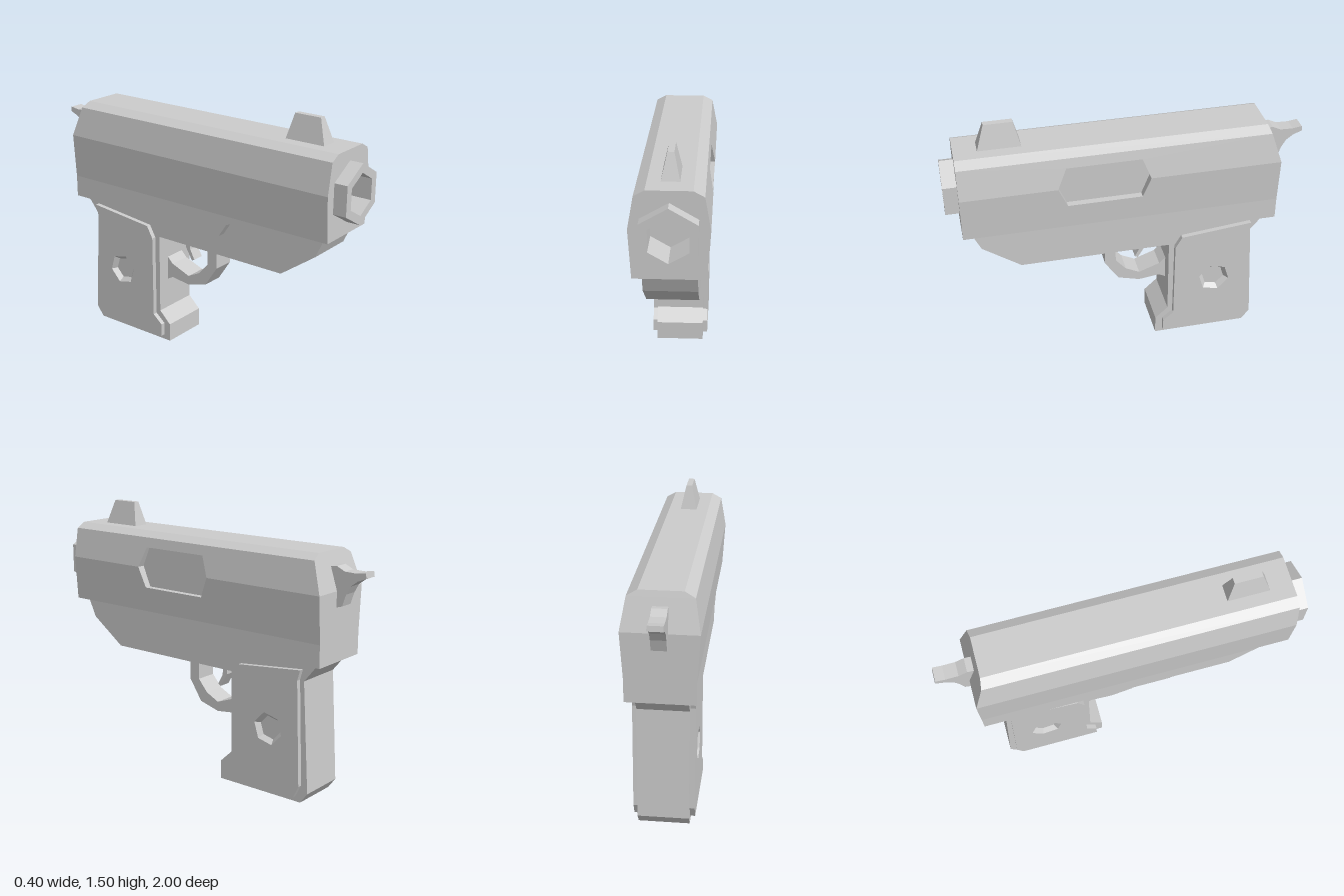
import * as THREE from 'three';
import { mergeGeometries } from 'three/addons/utils/BufferGeometryUtils.js';

const material = new THREE.MeshStandardMaterial({ color: 0xcccccc, flatShading: true, side: THREE.DoubleSide });
const toShape = (pts) => new THREE.Shape(pts.map(([a, b]) => new THREE.Vector2(a, b)));

// Side profile given as [z, y], extruded across x and centred on xMid
function profile(pts, width, xMid = 0, hole = null) {
  const shape = toShape(pts);
  if (hole) shape.holes.push(toShape(hole));
  const g = new THREE.ExtrudeGeometry(shape, { depth: width, bevelEnabled: false });
  return g.translate(0, 0, -width / 2).rotateY(-Math.PI / 2).translate(xMid, 0, 0);
}

// Flat [z, y] outline facing side s (+1 or -1), pushed out to x = s * xAt(y)
function sidePanel(pts, s, xAt) {
  const g = new THREE.ShapeGeometry(toShape(pts.map(([z, y]) => [-s * z, y]))).rotateY(s * Math.PI / 2);
  const p = g.attributes.position;
  for (let i = 0; i < p.count; i++) p.setX(i, s * xAt(p.getY(i)));
  return g.toNonIndexed();
}

// Skin between successive rows of [x, y, z] points
function loft(rows) {
  const v = [];
  for (let r = 0; r + 1 < rows.length; r++) {
    const a = rows[r], b = rows[r + 1];
    for (let i = 0; i + 1 < a.length; i++) {
      v.push(...a[i], ...a[i + 1], ...b[i + 1], ...a[i], ...b[i + 1], ...b[i]);
    }
  }
  const g = new THREE.BufferGeometry();
  g.setAttribute('position', new THREE.Float32BufferAttribute(v, 3));
  g.setAttribute('uv', new THREE.Float32BufferAttribute(new Float32Array(v.length / 3 * 2), 2));
  g.computeVertexNormals();
  return g;
}

const closed = (pts) => [...pts, pts[0]];

// Slide half-width at each height, as [y, x]
const section = [[1.365, 0.115], [1.335, 0.17], [1.165, 0.2], [0.91, 0.184], [0.785, 0.184]];
function halfWidth(y) {
  for (let i = 0; i + 1 < section.length; i++) {
    const [y0, x0] = section[i], [y1, x1] = section[i + 1];
    if (y >= y1 - 1e-6) return x0 + (x1 - x0) * (y0 - y) / (y0 - y1);
  }
  return 0.184;
}

const MUZZLE_Y = 1.14, FRONT = 0.925;
const port = [[0.405, 1.165], [0.355, 1.28], [-0.055, 1.28], [-0.1, 1.165], [-0.055, 1.05], [0.355, 1.05]];

function slideGeometry() {
  // Underside, back and top as one strip
  const path = [[FRONT, 0.91], [0.4, 0.91], [0.29, 0.86], [0.24, 0.785], [-0.83, 0.785], [-0.83, 0.91],
    [-0.83, 1.165], [-0.775, 1.335], [-0.765, 1.365], [FRONT, 1.365]];
  const parts = [loft(path.map(([z, y]) => [[halfWidth(y), y, z], [-halfWidth(y), y, z]]))];

  // Side bands; the left side is notched for the port
  for (const s of [1, -1]) {
    const [a, b, c, d, e, f] = port;
    const upperNotch = s > 0 ? [d, c, b, a] : [];
    const lowerNotch = s > 0 ? [a, f, e, d] : [];
    const bands = [
      [[FRONT, 1.365], [FRONT, 1.335], [-0.775, 1.335], [-0.765, 1.365]],
      [[-0.775, 1.335], [-0.83, 1.165], ...upperNotch, [FRONT, 1.165], [FRONT, 1.335]],
      [[FRONT, 1.165], ...lowerNotch, [-0.83, 1.165], [-0.83, 0.91], [FRONT, 0.91]],
      [[0.4, 0.91], [0.29, 0.86], [0.24, 0.785], [-0.83, 0.785], [-0.83, 0.91]],
    ];
    for (const band of bands) parts.push(sidePanel(band, s, halfWidth));
  }

  // Front face, opened for the bore
  const half = section.slice(0, 4).map(([y, x]) => [x, y]);
  const face = toShape([...half, ...half.map(([x, y]) => [-x, y]).reverse()]);
  face.holes.push(toShape(hexagon(0.13, 0, MUZZLE_Y, Math.PI / 2)));
  parts.push(new THREE.ShapeGeometry(face).translate(0, 0, FRONT).toNonIndexed());
  return mergeGeometries(parts);
}

function portRecessGeometry() {
  const floor = 0.155;
  return mergeGeometries([
    loft([closed(port.map(([z, y]) => [halfWidth(y), y, z])), closed(port.map(([z, y]) => [floor, y, z]))]),
    sidePanel(port, 1, () => floor),
  ]);
}

function hexagon(r, cx, cy, turn) {
  return Array.from({ length: 6 }, (_, i) => {
    const t = turn + i * Math.PI / 3;
    return [cx + r * Math.cos(t), cy + r * Math.sin(t)];
  });
}

export function createModel() {
  const group = new THREE.Group();
  const add = (name, geometry) => {
    const mesh = new THREE.Mesh(geometry, material);
    mesh.name = name;
    group.add(mesh);
    return mesh;
  };

  add('slide', slideGeometry());
  add('ejectionPort', portRecessGeometry());

  // Six-sided barrel with a hollow bore
  const barrel = [[0.165, 0.92], [0.165, 1], [0.115, 1], [0.115, 0.8], [0, 0.8]];
  add('barrel', new THREE.LatheGeometry(barrel.map(([r, h]) => new THREE.Vector2(r, h)), 6)
    .rotateX(Math.PI / 2).translate(0, MUZZLE_Y, 0));

  // Front sight: a box narrowed towards the top
  const sight = new THREE.BoxGeometry(0.096, 0.14, 0.235).translate(0, 1.43, 0.6825);
  const p = sight.attributes.position;
  for (let i = 0; i < p.count; i++) {
    if (p.getY(i) > 1.43) {
      p.setX(i, Math.sign(p.getX(i)) * 0.017);
      p.setZ(i, p.getZ(i) > 0.68 ? 0.755 : 0.6);
    }
  }
  sight.computeVertexNormals();
  add('frontSight', sight);

  add('hammer', profile([[-0.77, 1.29], [-0.825, 1.295], [-0.873, 1.272], [-0.943, 1.27], [-0.995, 1.278],
    [-1, 1.25], [-0.95, 1.23], [-0.91, 1.2], [-0.885, 1.155], [-0.863, 1.09], [-0.83, 1.08], [-0.77, 1.08]], 0.08));

  // Frame and grip core in one profile
  add('frame', profile([[0.88, 0.93], [0.88, 0.91], [0.83, 0.8], [0.62, 0.65], [-0.225, 0.65], [-0.228, 0.178],
    [-0.155, 0.108], [-0.155, 0], [-0.7, 0], [-0.745, 0.06], [-0.708, 0.685], [-0.79, 0.785], [-0.79, 0.93]], 0.276));

  // Grip panels with a tapered hexagonal recess
  const grip = [[-0.7, 0.749], [-0.648, 0.675], [-0.705, 0.1], [-0.67, 0.03], [-0.197, 0.03], [-0.197, 0.105],
    [-0.257, 0.155], [-0.257, 0.64], [-0.295, 0.708]];
  // Rear edge follows the back of the grip
  grip[1] = [-0.683, 0.69];
  const rim = hexagon(0.092, -0.497, 0.383, 0.23), base = hexagon(0.067, -0.497, 0.383, 0.23);
  for (const s of [1, -1]) {
    const side = s > 0 ? 'left' : 'right';
    add(side + 'GripPanel', profile(grip, 0.027, s * 0.1515, rim));
    add(side + 'GripRecess', loft([
      closed(rim.map(([z, y]) => [s * 0.165, y, z])),
      closed(base.map(([z, y]) => [s * 0.138, y, z])),
    ]));
  }

  add('triggerGuard', profile([[0.145, 0.655], [0.134, 0.63], [0.134, 0.52], [0.055, 0.4], [-0.07, 0.365],
    [-0.19, 0.38], [-0.235, 0.355], [-0.235, 0.51], [-0.19, 0.465], [-0.07, 0.42], [0.01, 0.46], [0.07, 0.53],
    [0.07, 0.62], [0.04, 0.655]], 0.128));

  add('trigger', profile([[-0.062, 0.655], [-0.085, 0.61], [-0.08, 0.575], [-0.05, 0.518], [-0.068, 0.508],
    [-0.113, 0.585], [-0.113, 0.655]], 0.07));

  return group;
}
